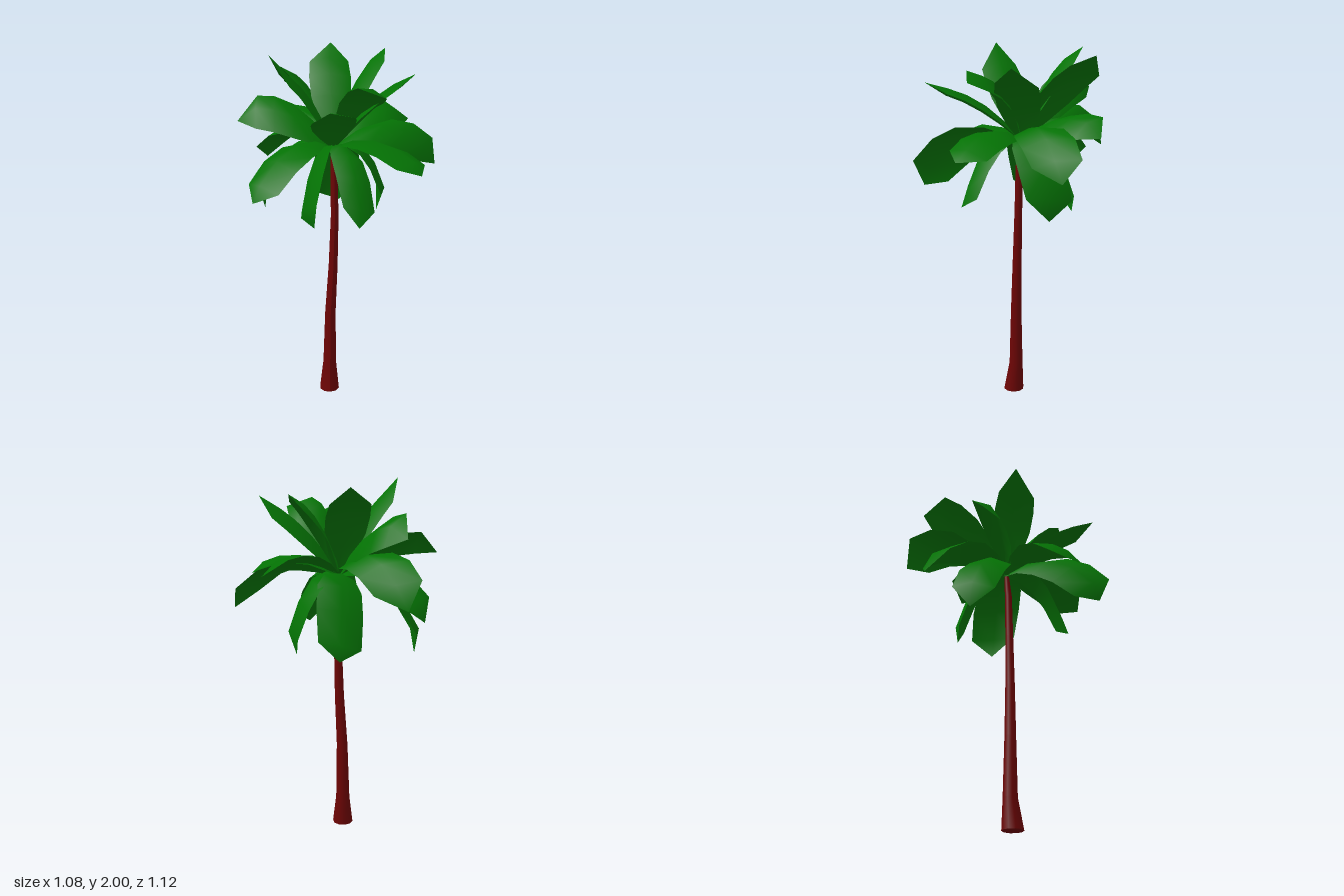
import * as THREE from 'three';

const bark = new THREE.MeshStandardMaterial({ color: 0x6c0404 });
bark.name = 'dark red bark';
const leaf = new THREE.MeshStandardMaterial({ color: 0x047204, side: THREE.DoubleSide });
leaf.name = 'palm green';

const crown = new THREE.Vector3(-0.03, 1.49, -0.02);

// Trunk: a cylinder whose rings follow a flared, gently leaning profile
function makeTrunk() {
  // y, centre x, centre z, radius
  const rings = [
    [0, -0.06, 0.015, 0.058], [0.17, -0.057, 0.002, 0.039], [0.5, -0.052, 0.002, 0.031],
    [0.8, -0.035, 0, 0.026], [1.1, -0.025, -0.005, 0.022], [1.35, -0.028, -0.01, 0.02],
    [1.48, -0.03, -0.02, 0.014],
  ];
  const n = rings.length - 1;
  const geo = new THREE.CylinderGeometry(1, 1, n, 10, n);
  const p = geo.attributes.position;
  for (let i = 0; i < p.count; i++) {
    const [y, cx, cz, r] = rings[Math.round(p.getY(i) + n / 2)];
    p.setXYZ(i, cx + p.getX(i) * r, y, cz + p.getZ(i) * r);
  }
  geo.computeVertexNormals();
  const mesh = new THREE.Mesh(geo, bark);
  mesh.name = 'trunk';
  return mesh;
}

// Frond: arched blade from the crown to two shoulders, closed by a point.
// arch lifts the middle of the stalk above the straight line.
function makeFrond(left, tip, right, arch) {
  const L = new THREE.Vector3(...left);
  const R = new THREE.Vector3(...right);
  const T = new THREE.Vector3(...tip);
  const end = L.clone().add(R).multiplyScalar(0.5);
  const half = L.clone().sub(R).multiplyScalar(0.5);
  const ctrl = crown.clone().lerp(end, 0.55);
  ctrl.y += arch;
  const spine = new THREE.QuadraticBezierCurve3(crown, ctrl, end);
  const widths = [0.1, 0.7, 1.02, 1.08, 1];
  const steps = widths.length - 1;
  const pos = [];
  const index = [];
  widths.forEach((w, i) => {
    const c = spine.getPoint(i / steps);
    // Raised midrib, perpendicular to the blade
    const normal = spine.getTangent(i / steps).cross(half).normalize();
    if (normal.y < 0) normal.negate();
    const rib = c.clone().addScaledVector(normal, 0.035 * w);
    const a = c.clone().addScaledVector(half, w);
    const b = c.clone().addScaledVector(half, -w);
    pos.push(...a.toArray(), ...rib.toArray(), ...b.toArray());
    if (i < steps) {
      for (let k = 0; k < 2; k++) {
        const q = i * 3 + k;
        index.push(q, q + 1, q + 3, q + 1, q + 4, q + 3);
      }
    }
  });
  pos.push(...T.toArray());
  const e = steps * 3;
  index.push(e, e + 1, e + 3, e + 1, e + 2, e + 3);
  const geo = new THREE.BufferGeometry();
  geo.setAttribute('position', new THREE.Float32BufferAttribute(pos, 3));
  geo.setIndex(index);
  geo.computeVertexNormals();
  return new THREE.Mesh(geo, leaf);
}

export function createModel() {
  const tree = new THREE.Group();
  tree.name = 'palmTree';
  tree.add(makeTrunk());

  const fronds = new THREE.Group();
  fronds.name = 'fronds';
  const add = (name, ...shape) => {
    const mesh = makeFrond(...shape);
    mesh.name = name;
    fronds.add(mesh);
  };

  // Upright fronds: shoulder, tip, shoulder, arch
  add('upperFrondRight', [-0.31, 1.88, -0.05], [-0.36, 2.0, 0.05], [-0.26, 1.86, 0.15], 0.06);
  add('upperFrondBack', [-0.14, 1.9, -0.29], [-0.02, 1.99, -0.36], [0.07, 1.9, -0.28], 0.06);
  add('upperFrondBackLeft', [0.18, 1.85, -0.39], [0.28, 1.96, -0.34], [0.26, 1.91, -0.21], 0.06);
  add('upperFrondLeft', [0.33, 1.81, -0.03], [0.38, 1.91, 0.12], [0.26, 1.83, 0.18], 0.04);
  add('upperFrondFrontLeft', [0.07, 1.88, 0.29], [0.21, 1.83, 0.31], [0.21, 1.78, 0.19], 0.12);
  add('upperFrondFront', [-0.16, 1.73, 0.37], [-0.08, 1.81, 0.49], [0.05, 1.76, 0.39], 0.06);
  add('upperFrondBackRight', [-0.3, 1.86, -0.36], [-0.28, 1.75, -0.48], [-0.17, 1.7, -0.43], 0.09);

  // Spreading fronds
  add('spreadFrondRight', [-0.43, 1.74, -0.19], [-0.54, 1.62, -0.12], [-0.44, 1.6, -0.03], 0.09);
  add('spreadFrondBackLeft', [0.29, 1.65, -0.38], [0.42, 1.56, -0.33], [0.36, 1.55, -0.2], 0.08);
  add('spreadFrondFrontLeft', [0.42, 1.47, 0.25], [0.38, 1.46, 0.4], [0.25, 1.5, 0.41], 0.11);
  add('spreadFrondLeft', [0.54, 1.48, -0.2], [0.54, 1.36, -0.1], [0.4, 1.42, 0.02], 0.2);
  add('spreadFrondBack', [-0.34, 1.56, -0.54], [-0.27, 1.41, -0.56], [-0.12, 1.47, -0.46], 0.22);
  add('spreadFrondBackRight', [-0.45, 1.42, -0.3], [-0.39, 1.32, -0.44], [-0.28, 1.4, -0.47], 0.18);
  add('spreadFrondFrontRight', [-0.48, 1.38, 0.22], [-0.46, 1.32, 0.35], [-0.33, 1.38, 0.4], 0.18);

  // Drooping fronds
  add('droopFrondFrontRight', [-0.15, 1.38, 0.56], [-0.16, 1.24, 0.5], [-0.22, 1.24, 0.36], 0.2);
  add('droopFrondFront', [0.0, 1.26, 0.28], [0.08, 1.16, 0.33], [0.165, 1.22, 0.26], 0.23);
  add('droopFrondLeft', [0.23, 1.22, 0.01], [0.22, 1.09, -0.12], [0.23, 1.2, -0.24], 0.23);
  add('droopFrondBack', [-0.1, 1.14, -0.28], [0.02, 1.09, -0.3], [0.13, 1.2, -0.28], 0.25);
  add('droopFrondRight', [-0.42, 1.19, -0.06], [-0.41, 1.09, -0.19], [-0.39, 1.22, -0.29], 0.23);
  tree.add(fronds);
  return tree;
}
